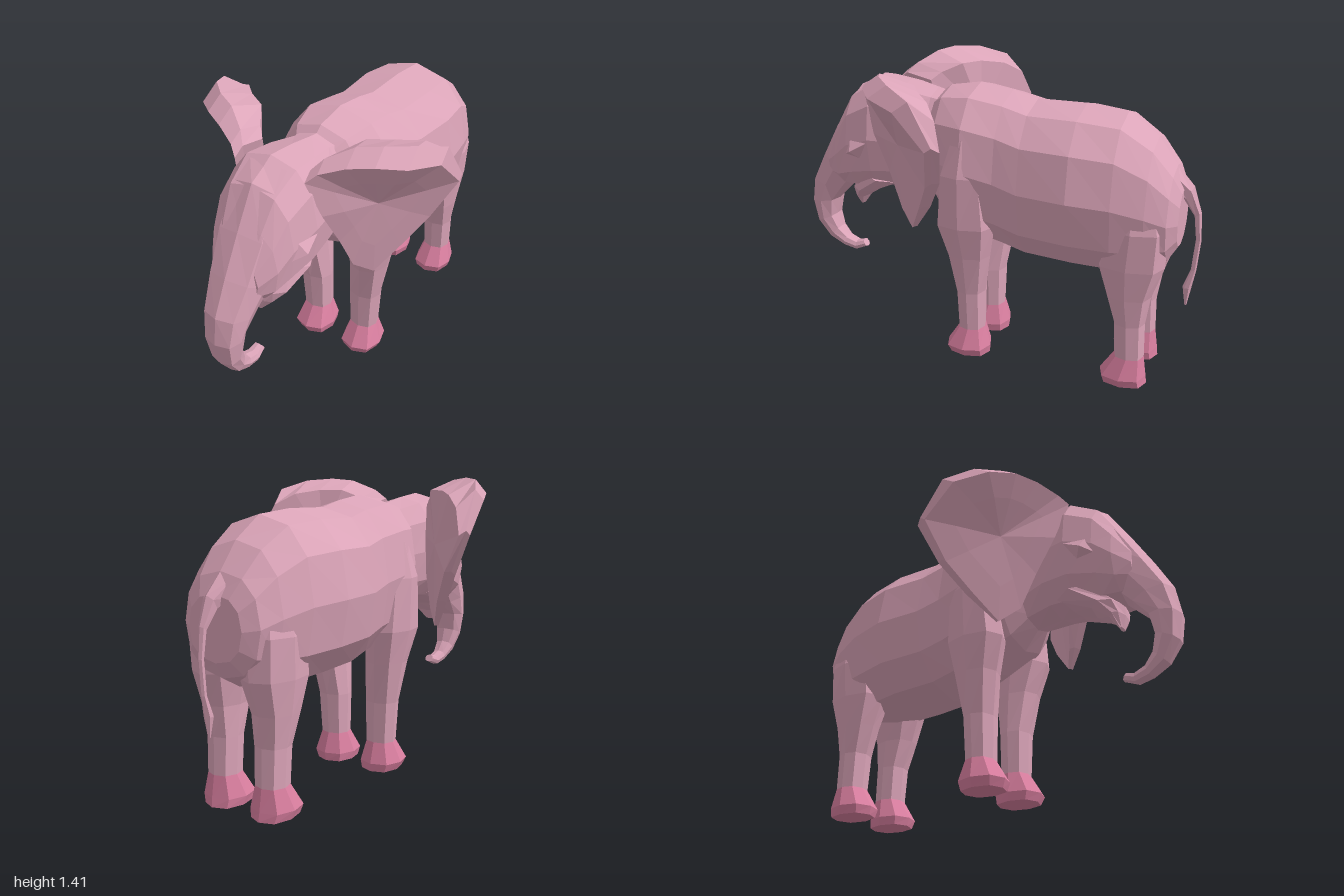
import * as THREE from 'three';

const skin = new THREE.MeshStandardMaterial({ color: 0xdca5b9, flatShading: true });
skin.name = 'pink skin';
const hoof = new THREE.MeshStandardMaterial({ color: 0xdb80a1, flatShading: true });
hoof.name = 'deep pink feet';

const V = (x, y, z) => new THREE.Vector3(x, y, z);

// Rounded-square ring around centre c, spanned by half-axes u and v
function ring(c, u, v, n = 8, p = 2) {
  const soft = t => Math.sign(t) * Math.pow(Math.abs(t) < 1e-9 ? 0 : Math.abs(t), 2 / p);
  return Array.from({ length: n }, (_, i) => {
    const a = (i / n) * Math.PI * 2;
    return c.clone().addScaledVector(u, soft(Math.cos(a))).addScaledVector(v, soft(Math.sin(a)));
  });
}

// Closed faceted skin through rings; optional points replace the cap centres
function loft(name, rings, material, startPoint, endPoint) {
  const n = rings[0].length, tris = [];
  const mid = r => r.reduce((s, q) => s.add(q), V(0, 0, 0)).divideScalar(n);
  const first = rings[0], last = rings[rings.length - 1];
  const a = startPoint || mid(first), b = endPoint || mid(last);
  for (let i = 0; i < n; i++) {
    const j = (i + 1) % n;
    tris.push([a, first[j], first[i]], [b, last[i], last[j]]);
    for (let k = 0; k < rings.length - 1; k++) {
      const r = rings[k], s = rings[k + 1];
      tris.push([r[i], r[j], s[j]], [r[i], s[j], s[i]]);
    }
  }
  // Turn the faces outward if the enclosed volume is negative
  const volume = tris.reduce((s, [p, q, r]) => s + p.dot(q.clone().cross(r)), 0);
  const points = tris.flatMap(t => (volume < 0 ? [t[0], t[2], t[1]] : t));
  const geometry = new THREE.BufferGeometry().setFromPoints(points);
  geometry.computeVertexNormals();
  const mesh = new THREE.Mesh(geometry, material);
  mesh.name = name;
  return mesh;
}

// Sections along z: [z, top, bottom, halfWidth]
const alongZ = (name, rows, n, p) => loft(name, rows.map(([z, t, b, w]) =>
  ring(V(0, (t + b) / 2, z), V(0, (t - b) / 2, 0), V(w, 0, 0), n, p)), skin);

// Sections between an outer and an inner profile: [zOut, yOut, zIn, yIn, halfWidth]
const alongProfile = (name, rows, n, p) => loft(name, rows.map(([z0, y0, z1, y1, w]) =>
  ring(V(0, (y0 + y1) / 2, (z0 + z1) / 2), V(0, (y0 - y1) / 2, (z0 - z1) / 2), V(w, 0, 0), n, p)), skin);

// Sections going up a limb: [y, x0, x1, z0, z1]
const upright = (name, rows, side, material) => loft(name, rows.map(([y, x0, x1, z0, z1]) =>
  ring(V(side * (x0 + x1) / 2, y, (z0 + z1) / 2), V(0, 0, (z1 - z0) / 2), V((x1 - x0) / 2, 0, 0), 8, 2.5)), material);

// Thick-topped ear: rim [x, y, z], forward push of the front edge, shift of the back edge in x, y, z
function makeEar(side) {
  const rows = [
    [0.17, 1.31, 0.53, 0.05, 0, -0.03, -0.13], [0.21, 1.355, 0.49, 0.06, 0, -0.04, -0.13],
    [0.31, 1.405, 0.42, 0.08, -0.04, -0.05, -0.15], [0.41, 1.415, 0.37, 0.08, -0.04, -0.06, -0.16],
    [0.51, 1.405, 0.28, 0.09, -0.05, -0.07, -0.16], [0.58, 1.36, 0.15, 0.07, -0.04, -0.08, -0.1],
    [0.6, 1.18, 0.04, 0.03, -0.02, -0.02, -0.03], [0.5, 0.99, 0.09, 0.03, -0.02, 0, -0.03],
    [0.41, 0.84, 0.18, 0.02, -0.02, 0, -0.03], [0.32, 0.7, 0.27, 0.01, -0.01, 0, -0.01],
    [0.26, 0.78, 0.33, 0.03, 0, 0, -0.03], [0.235, 0.95, 0.39, 0.04, -0.02, 0, -0.06],
    [0.21, 1.13, 0.47, 0.05, -0.02, 0, -0.11],
  ];
  const rim = rows.map(([x, y, z]) => V(side * x, y, z));
  const front = rows.map(([x, y, z, f]) => V(side * (x + 0.1 * f), y - 0.7 * f, z + f));
  const back = rows.map(([x, y, z, , dx, dy, dz]) => V(side * (x + dx), y + dy, z + dz));
  const face = front.map(q => q.clone().lerp(V(side * 0.36, 1.1, 0.33), 0.4));
  return loft('ear', [face, front, rim, back], skin, V(side * 0.36, 1.1, 0.32), V(side * 0.34, 1.1, 0.2));
}

export function createModel() {
  const model = new THREE.Group();
  model.name = 'elephant';

  model.add(alongZ('torso', [
    [0.3, 1.24, 0.8, 0.14], [0.21, 1.31, 0.69, 0.23], [0.06, 1.335, 0.61, 0.295], [-0.1, 1.31, 0.57, 0.285],
    [-0.22, 1.28, 0.54, 0.3], [-0.45, 1.28, 0.53, 0.325], [-0.64, 1.26, 0.52, 0.295], [-0.78, 1.16, 0.55, 0.255],
    [-0.87, 1.04, 0.6, 0.215], [-0.91, 0.95, 0.67, 0.15],
  ], 12, 2.3));

  model.add(alongZ('head', [
    [0.15, 1.27, 0.74, 0.18], [0.28, 1.29, 0.78, 0.16], [0.42, 1.32, 0.79, 0.2], [0.56, 1.34, 0.775, 0.22],
    [0.69, 1.265, 0.76, 0.195], [0.77, 1.13, 0.765, 0.17], [0.84, 1.0, 0.8, 0.12],
  ], 12, 2.4));

  model.add(alongProfile('trunk', [
    [0.59, 1.32, 0.5, 1.2, 0.12], [0.69, 1.275, 0.55, 1.05, 0.13], [0.8, 1.1, 0.65, 0.93, 0.14],
    [0.9, 0.93, 0.7, 0.82, 0.125], [0.98, 0.78, 0.79, 0.73, 0.1], [1.0, 0.65, 0.86, 0.66, 0.085],
    [0.98, 0.53, 0.88, 0.57, 0.07], [0.92, 0.44, 0.86, 0.5, 0.05], [0.84, 0.395, 0.82, 0.45, 0.038],
    [0.77, 0.38, 0.77, 0.43, 0.033], [0.71, 0.405, 0.73, 0.44, 0.024],
  ], 8, 2.6));

  model.add(alongProfile('lowerLip', [
    [0.68, 0.86, 0.42, 0.82, 0.17], [0.74, 0.77, 0.6, 0.75, 0.13],
    [0.74, 0.72, 0.68, 0.7, 0.08], [0.725, 0.66, 0.715, 0.65, 0.025],
  ], 8, 2));

  // Tail with a small tuft
  model.add(alongProfile('tail', [
    [-0.86, 1.05, -0.86, 0.9, 0.07], [-0.95, 0.95, -0.91, 0.88, 0.035], [-0.99, 0.83, -0.96, 0.81, 0.018],
    [-1.0, 0.7, -0.975, 0.7, 0.013], [-0.99, 0.55, -0.965, 0.55, 0.013],
    [-0.975, 0.46, -0.935, 0.46, 0.022], [-0.96, 0.37, -0.95, 0.37, 0.006],
  ], 6, 2));

  for (const side of [1, -1]) {
    model.add(makeEar(side));

    // Brow ridge over the eye
    const brow = new THREE.Mesh(new THREE.OctahedronGeometry(1), skin);
    brow.name = 'brow';
    brow.scale.set(0.04, 0.05, 0.09);
    brow.position.set(side * 0.195, 1.0, 0.64);
    brow.rotation.set(0.5, -side * 0.3, 0);
    model.add(brow);

    model.add(upright('frontLeg', [
      [0.14, 0.07, 0.21, -0.01, 0.12], [0.34, 0.065, 0.225, -0.015, 0.125], [0.54, 0.08, 0.26, -0.05, 0.16],
      [0.7, 0.09, 0.295, -0.08, 0.21], [0.95, 0.1, 0.305, -0.06, 0.18], [1.12, 0.1, 0.27, -0.02, 0.12],
    ], side, skin));
    model.add(upright('frontFoot', [
      [0, 0.05, 0.225, -0.035, 0.17], [0.04, 0.04, 0.245, -0.04, 0.185], [0.14, 0.07, 0.21, -0.01, 0.12],
    ], side, hoof));
    model.add(upright('hindLeg', [
      [0.14, 0.07, 0.21, -0.805, -0.665], [0.31, 0.065, 0.215, -0.8, -0.655], [0.45, 0.06, 0.235, -0.82, -0.61],
      [0.6, 0.03, 0.255, -0.87, -0.56], [0.78, 0.02, 0.265, -0.875, -0.58], [0.98, 0.02, 0.22, -0.83, -0.62],
    ], side, skin));
    model.add(upright('hindFoot', [
      [0, 0.05, 0.225, -0.825, -0.61], [0.04, 0.04, 0.24, -0.82, -0.6], [0.14, 0.07, 0.21, -0.805, -0.665],
    ], side, hoof));
  }
  return model;
}
